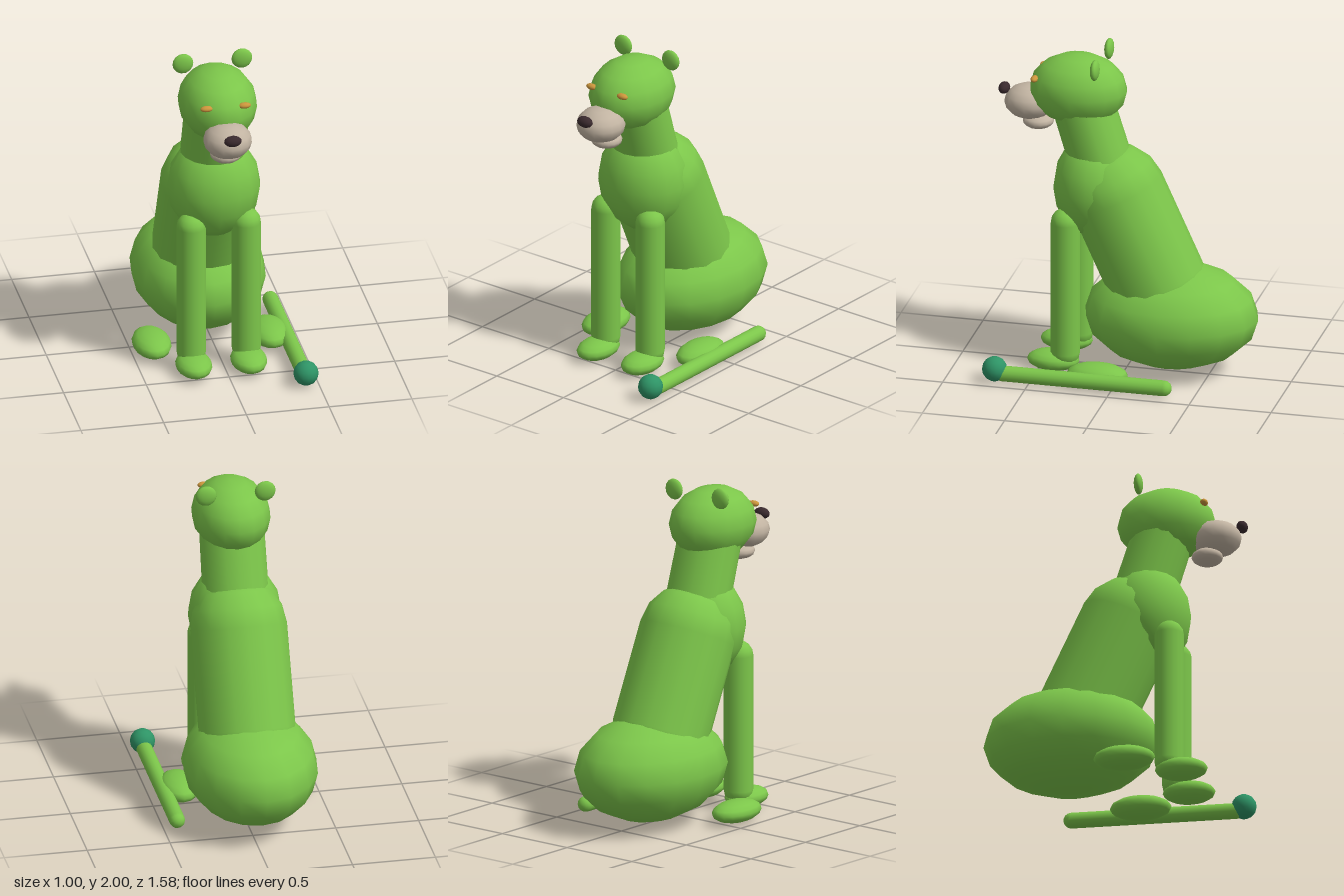
import * as THREE from 'three';

export function createModel() {
  const model = new THREE.Group();
  model.name = 'sittingBear';
  const mat = (name, color) => {
    const m = new THREE.MeshStandardMaterial({ color });
    m.name = name;
    return m;
  };
  const fur = mat('green fur', 0x7cc64a);
  const muzzleTan = mat('muzzle tan', 0xc2b4a2);
  const noseDark = mat('dark nose', 0x3a2a2e);
  const amber = mat('amber eye', 0xcc963c);
  const teal = mat('teal tail tip', 0x2e9466);

  const CX = -0.03; // body's middle plane; the tail lies out to the left side

  const add = (name, geometry, material, position) => {
    const mesh = new THREE.Mesh(geometry, material);
    mesh.name = name;
    mesh.position.set(...position);
    model.add(mesh);
    return mesh;
  };
  const ellipsoid = (name, material, position, radii) =>
    add(name, new THREE.SphereGeometry(1, 16, 8).scale(...radii), material, position);

  // Capsule whose end-sphere centres are a and b
  const capsule = (name, material, a, b, r) => {
    const from = new THREE.Vector3(...a), to = new THREE.Vector3(...b);
    const dir = to.clone().sub(from);
    const mesh = add(name, new THREE.CapsuleGeometry(r, dir.length(), 4, 16), material,
      from.add(to).multiplyScalar(0.5).toArray());
    mesh.quaternion.setFromUnitVectors(new THREE.Vector3(0, 1, 0), dir.normalize());
    return mesh;
  };

  // Body
  ellipsoid('haunches', fur, [CX, 0.36, -0.265], [0.4, 0.32, 0.525]);
  capsule('torso', fur, [CX, 0.55, -0.18], [CX, 1.105, 0.073], 0.292);
  ellipsoid('chest', fur, [CX, 1.14, 0.195], [0.28, 0.32, 0.255]);

  // Neck, leaning forward
  const neck = add('neck', new THREE.CylinderGeometry(0.196, 0.2, 0.46, 16).scale(1, 1, 0.93),
    fur, [CX, 1.47, 0.222]);
  neck.rotation.x = 0.3;

  // Head
  ellipsoid('head', fur, [CX, 1.742, 0.303], [0.234, 0.218, 0.294]);
  ellipsoid('muzzle', muzzleTan, [CX, 1.635, 0.6], [0.145, 0.105, 0.152]);
  ellipsoid('jaw', muzzleTan, [CX, 1.517, 0.547], [0.094, 0.048, 0.094]);
  ellipsoid('nose', noseDark, [CX, 1.702, 0.755], [0.053, 0.034, 0.034]);

  // Paired parts
  for (const [side, s] of [['left', 1], ['right', -1]]) {
    ellipsoid(side + 'Ear', fur, [CX + s * 0.178, 1.939, 0.16], [0.063, 0.063, 0.027]);
    ellipsoid(side + 'Eye', amber, [CX + s * 0.115, 1.823, 0.543], [0.038, 0.018, 0.023]);
    capsule(side + 'FrontLeg', fur, [CX + s * 0.166, 0.125, 0.342], [CX + s * 0.166, 0.947, 0.342], 0.088);
    ellipsoid(side + 'FrontPaw', fur, [CX + s * 0.166, 0.068, 0.415], [0.108, 0.062, 0.158]);
    ellipsoid(side + 'HindFoot', fur, [CX + s * 0.355, 0.075, 0.1], [0.115, 0.067, 0.185]);
  }

  // Tail lying on the ground with a ball tip
  capsule('tail', fur, [0.422, 0.065, -0.328], [0.422, 0.065, 0.66], 0.047);
  ellipsoid('tailTip', teal, [0.422, 0.09, 0.703], [0.075, 0.075, 0.075]);

  return model;
}
